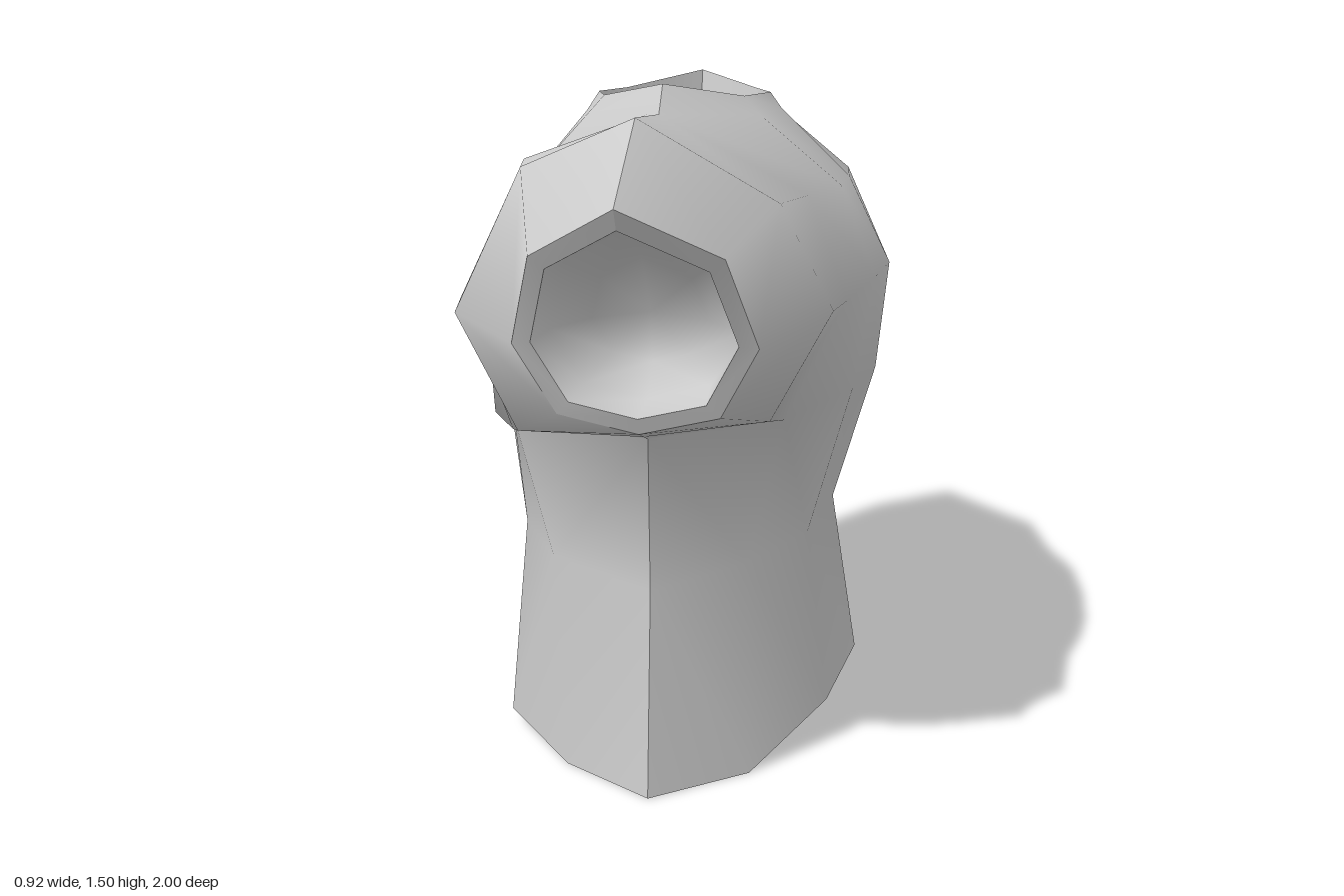
import * as THREE from 'three';
import { toCreasedNormals } from 'three/addons/utils/BufferGeometryUtils.js';

const SEAM = -0.025;

// Torso columns run from the centre line to the side seam, each from hem to neck.
// Sleeve rings run from the body outwards, each from armpit to shoulder seam.
const leftHalf = {
  name: 'leftPanel', side: 1,
  columns: [
    [[0.395, 0.13, 0], [0.335, 0.51, 0], [0.43, 0.83, 0], [0.457, 1.08, 0], [0.36, 1.28, 0], [0.2, 1.435, 0], [0.175, 1.47, 0]],
    [[0.34, 0.1, 0.28], [0.29, 0.5, 0.27], [0.385, 0.83, 0.24], [0.43, 1.08, 0.22], [0.35, 1.28, 0.21], [0.17, 1.43, 0.2], [0.13, 1.47, 0.165]],
    [[0.18, 0, 0.48], [0.17, 0.48, 0.45], [0.25, 0.81, 0.48], [0.375, 1.06, 0.43], [0.29, 1.28, 0.42], [SEAM, 1.445, 0.42], [SEAM, 1.505, 0.36]],
    [[SEAM, 0, 0.635], [SEAM, 0.45, 0.58], [SEAM, 0.79, 0.6]],
  ],
  rings: [
    [[SEAM, 0.81, 0.66], [0.23, 0.84, 0.62], [0.355, 1.07, 0.61], [0.25, 1.29, 0.66], [SEAM, 1.46, 0.74]],
    [[SEAM, 0.83, 0.72], [0.14, 0.87, 0.73], [0.22, 1.02, 0.77], [0.165, 1.21, 0.88], [SEAM, 1.315, 1]],
  ],
};
const rightHalf = {
  name: 'rightPanel', side: -1,
  columns: [
    [[-0.44, 0.04, 0], [-0.385, 0.51, 0], [-0.44, 0.8, 0], [-0.46, 1.05, 0], [-0.37, 1.29, 0], [-0.255, 1.425, 0], [-0.225, 1.47, 0]],
    [[-0.4, 0.04, 0.28], [-0.36, 0.5, 0.26], [-0.42, 0.8, 0.17], [-0.445, 1.05, 0.11], [-0.36, 1.28, 0.16], [-0.23, 1.42, 0.17], [-0.185, 1.47, 0.165]],
    [[-0.23, 0, 0.48], [-0.26, 0.48, 0.45], [-0.36, 0.77, 0.37], [-0.43, 1.05, 0.21], [-0.25, 1.3, 0.39], [SEAM, 1.445, 0.42], [SEAM, 1.505, 0.36]],
    [[SEAM, 0, 0.635], [SEAM, 0.45, 0.58], [SEAM, 0.79, 0.6]],
  ],
  rings: [
    // raised edge of the shoulder bulge
    [[SEAM, 0.79, 0.6], [-0.4, 0.785, 0.38], [-0.46, 1.05, 0.22], [-0.25, 1.36, 0.43], [SEAM, 1.445, 0.42]],
    [[SEAM, 0.8, 0.62], [-0.34, 0.77, 0.47], [-0.46, 1.05, 0.42], [-0.29, 1.36, 0.53], [SEAM, 1.455, 0.56]],
    [[SEAM, 0.81, 0.66], [-0.3, 0.8, 0.6], [-0.425, 1.05, 0.61], [-0.26, 1.36, 0.7], [SEAM, 1.46, 0.74]],
    [[SEAM, 0.83, 0.72], [-0.19, 0.87, 0.73], [-0.27, 1.02, 0.77], [-0.21, 1.21, 0.88], [SEAM, 1.315, 1]],
  ],
};

// Each opening narrows to its centre in steps of [shrink, depth]; the first step is the rim.
const openings = {
  hem: { centre: [SEAM, 0.06, 0], inward: [0, 1, 0], steps: [[0, 0], [0.09, 0], [0.2, 0.25], [0.4, 0.42], [1, 0.5]] },
  neck: { centre: [SEAM, 1.48, 0], inward: [0, -1, 0], steps: [[0, 0], [0.2, 0.2], [0.55, 0.22], [1, 0.22]] },
  arm: { centre: [SEAM, 1.05, 0.82], inward: [0, 0, -1], steps: [[0, 0], [0.16, 0], [0.21, 0.14], [0.5, 0.24], [1, 0.27]] },
};

const mirror = ([x, y, z], m) => [x, y, z * m];

// Adds a quad as two triangles, leaving out those with no area
function quad(list, a, b, c, d, flip) {
  for (const [i, j, k] of [[a, b, c], [a, c, d]]) {
    const same = (p, q) => p.every((v, n) => v === q[n]);
    if (same(i, j) || same(j, k) || same(i, k)) continue;
    list.push(...(flip ? [i, k, j] : [i, j, k]));
  }
}

// Vertices of an opening's edge after one step inwards
function stepIn(p, { centre, inward }, [shrink, depth]) {
  return p.map((v, n) => v + (centre[n] - v) * shrink + inward[n] * depth);
}

export function createModel() {
  const group = new THREE.Group();
  const material = new THREE.MeshStandardMaterial({ color: 0xcccccc });
  material.name = 'grey';

  const add = (name, corners, crease) => {
    const g = new THREE.BufferGeometry();
    g.setAttribute('position', new THREE.Float32BufferAttribute(corners.flat(), 3));
    const mesh = new THREE.Mesh(toCreasedNormals(g, crease), material);
    mesh.name = name;
    group.add(mesh);
  };

  const rims = { hem: [], neck: [], arm: [] };
  const hollows = { hem: [], neck: [], arm: [] };

  for (const half of [leftHalf, rightHalf]) {
    const shell = [];
    const { columns, rings } = half;
    const base = [columns[3][2], ...columns[2].slice(2, 6)];
    const sleeve = [base, ...rings];
    const edges = {
      hem: columns.map((c) => c[0]),
      neck: columns.slice(0, 3).map((c) => c[6]).reverse(),
      arm: rings[rings.length - 1],
    };

    for (const m of [1, -1]) {
      const flip = half.side * m > 0;
      const at = (p) => mirror(p, m);

      // torso panel
      for (let c = 0; c < 3; c++) {
        const [p, q] = [columns[c], columns[c + 1]];
        for (let r = 0; r + 1 < Math.min(p.length, q.length); r++) {
          quad(shell, at(p[r]), at(q[r]), at(q[r + 1]), at(p[r + 1]), flip);
        }
      }
      // sleeve
      for (let k = 0; k + 1 < sleeve.length; k++) {
        const [p, q] = [sleeve[k], sleeve[k + 1]];
        for (let i = 0; i < 4; i++) {
          quad(shell, at(q[i]), at(q[i + 1]), at(p[i + 1]), at(p[i]), flip);
        }
      }
      // rims and hollows of the openings
      for (const [key, line] of Object.entries(edges)) {
        const { steps } = openings[key];
        for (let s = 0; s + 1 < steps.length; s++) {
          const target = s === 0 ? rims[key] : hollows[key];
          const point = (i, n) => at(stepIn(line[i], openings[key], steps[n]));
          for (let i = 0; i + 1 < line.length; i++) {
            quad(target, point(i + 1, s), point(i, s), point(i, s + 1), point(i + 1, s + 1), flip);
          }
        }
      }
    }
    add(half.name, shell, 2);
  }

  for (const key of Object.keys(openings)) {
    add(key + 'Rim', rims[key], key === 'neck' ? 1 : 0.3);
    add(key + 'Hollow', hollows[key], 1.5);
  }
  return group;
}
